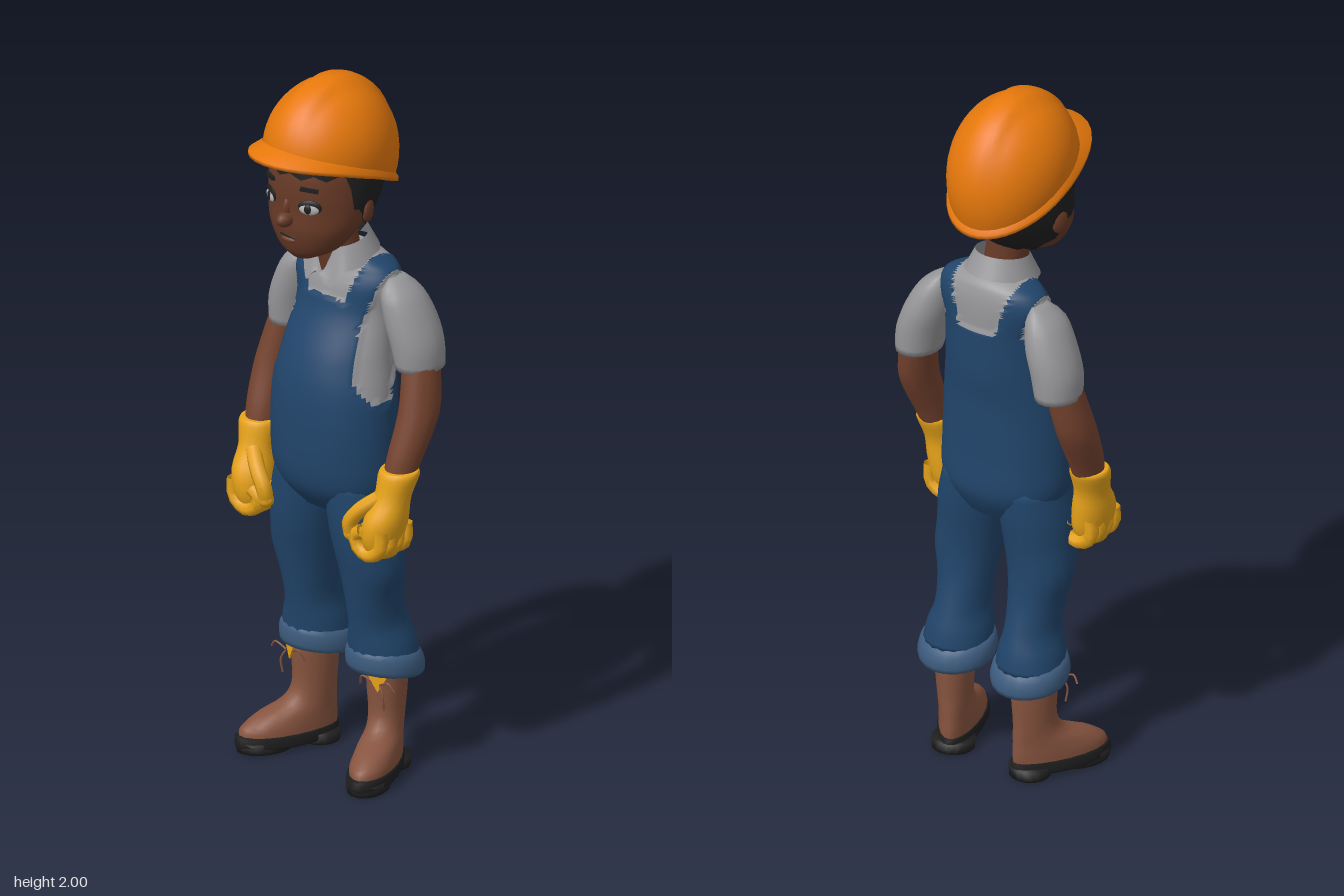
import * as THREE from 'three';

const mat = (name, color, side = THREE.FrontSide) => {
  const m = new THREE.MeshStandardMaterial({ color, side });
  m.name = name;
  return m;
};

// Closed-around surface: fn(angle, v) gives a point; v rises from 0 to 1.
function surf(nu, nv, fn, caps = true) {
  const pos = [], idx = [];
  for (let j = 0; j <= nv; j++)
    for (let i = 0; i < nu; i++) pos.push(...fn((i / nu) * Math.PI * 2, j / nv));
  for (let j = 0; j < nv; j++)
    for (let i = 0; i < nu; i++) {
      const k = (i + 1) % nu, a = j * nu + i, b = j * nu + k, c = b + nu, d = a + nu;
      idx.push(a, d, b, b, d, c);
    }
  if (caps) for (const j of [0, nv]) {
    const c = pos.length / 3, mid = [0, 0, 0];
    for (let i = 0; i < nu; i++) for (let n = 0; n < 3; n++) mid[n] += pos[(j * nu + i) * 3 + n] / nu;
    pos.push(...mid);
    for (let i = 0; i < nu; i++) {
      const a = j * nu + i, b = j * nu + ((i + 1) % nu);
      idx.push(c, j ? b : a, j ? a : b);
    }
  }
  const g = new THREE.BufferGeometry();
  g.setAttribute('position', new THREE.Float32BufferAttribute(pos, 3));
  g.setIndex(idx);
  g.computeVertexNormals();
  return g;
}

// Smooth interpolation of a list of rings.
function ringAt(rings, v) {
  const n = rings.length - 1, f = Math.min(v * n, n - 1e-6), i = Math.floor(f), t = f - i;
  const at = k => rings[Math.max(0, Math.min(n, k))];
  return rings[0].map((_, q) => {
    const a = at(i - 1)[q], b = at(i)[q], c = at(i + 1)[q], d = at(i + 2)[q];
    return 0.5 * (2 * b + (c - a) * t + (2 * a - 5 * b + 4 * c - d) * t * t + (3 * b - a - 3 * c + d) * t ** 3);
  });
}

// Loft through rings [x, y, z, radiusX, radiusZ, rise towards front], bottom to top.
function loft(rings, nu = 18, sub = 3, adjust = p => p) {
  const full = rings.map(r => [...r, 0].slice(0, 6));
  return surf(nu, (rings.length - 1) * sub, (a, v) => {
    const [x, y, z, rx, rz, k] = ringAt(full, v), s = Math.sin(a);
    return adjust([x + rx * Math.cos(a), y + k * rz * s, z + rz * s], a);
  });
}

const ball = (x, y, z, sx, sy, sz, yaw = 0) =>
  new THREE.SphereGeometry(1, 14, 10).scale(sx, sy, sz).rotateY(yaw).translate(x, y, z);

const tube = (pts, r, n = 10) => new THREE.TubeGeometry(
  new THREE.CatmullRomCurve3(pts.map(p => new THREE.Vector3(...p))), n, r, 7);

function mirrored(geo) {
  const g = geo.clone().applyMatrix4(new THREE.Matrix4().makeScale(-1, 1, 1));
  const ix = g.index.array;
  for (let i = 0; i < ix.length; i += 3) [ix[i], ix[i + 1]] = [ix[i + 1], ix[i]];
  return g;
}

export function createModel() {
  const orange = mat('helmet orange', 0xea7a0c, THREE.DoubleSide);
  const face = mat('face skin', 0x683a27);
  const skin = mat('arm skin', 0x75432f);
  const leather = mat('boot leather', 0x87543f);
  const denim = mat('denim', 0x21456b);
  const cuffBlue = mat('cuff denim', 0x3d5c7f);
  const grey = mat('shirt grey', 0x97979a, THREE.DoubleSide);
  const yellow = mat('glove yellow', 0xeaa51a, THREE.DoubleSide);
  const black = mat('black', 0x201f20, THREE.DoubleSide);
  const white = mat('eye white', 0xb5b2b0);

  const root = new THREE.Group();
  root.name = 'worker';
  const add = (name, geo, m) => {
    const mesh = new THREE.Mesh(geo, m);
    mesh.name = name;
    root.add(mesh);
    return mesh;
  };
  const both = (name, geo, m) => {
    add(name + 'Left', geo, m);
    add(name + 'Right', mirrored(geo), m);
  };

  // Torso: bib, back panel and straps in denim over the shirt
  const isDenim = ([x, y, z]) => {
    const ax = Math.abs(x), front = z > -0.06;
    if (y < 1.08) return true;
    if (y > 1.3 && Math.abs(ax - 0.097 - (y - 1.36) * 0.28) < 0.032) return true;
    const w = y > 1.2 ? 0.11 + (1.36 - y) * 0.125 : 0.13 + 0.07 * ((1.2 - y) / 0.12) ** 2;
    return y < (front ? 1.375 - ax * ax * 2 : 1.34) && ax < w + (front ? 0 : 0.025);
  };
  const torso = loft([
    [0, 0.765, -0.045, 0.13, 0.085], [0, 0.84, -0.036, 0.18, 0.13], [0, 0.95, -0.027, 0.187, 0.137],
    [0, 1.1, -0.028, 0.18, 0.135], [0, 1.21, -0.046, 0.163, 0.127], [0, 1.33, -0.075, 0.152, 0.1],
    [0, 1.41, -0.085, 0.168, 0.09], [0, 1.455, -0.09, 0.15, 0.078], [0, 1.48, -0.085, 0.11, 0.07],
    [0, 1.5, -0.07, 0.06, 0.055]], 72, 10,
  (p, a) => isDenim(p) ? [p[0] + 0.006 * Math.cos(a), p[1], p[2] + 0.006 * Math.sin(a)] : p);
  const tp = torso.attributes.position, parts = [[], []], ti = torso.index.array;
  for (let i = 0; i < ti.length; i += 3) {
    const t = [ti[i], ti[i + 1], ti[i + 2]];
    const c = ['getX', 'getY', 'getZ'].map(f => t.reduce((s, k) => s + tp[f](k) / 3, 0));
    parts[isDenim(c) ? 0 : 1].push(...t);
  }
  torso.setIndex([...parts[0], ...parts[1]]);
  torso.addGroup(0, parts[0].length, 0);
  torso.addGroup(parts[0].length, parts[1].length, 1);
  add('torso', torso, [denim, grey]);

  // Open collar with a notch and two points at the front
  add('collar', surf(40, 4, (a, v) => {
    const d = Math.abs(a - Math.PI / 2), s = Math.sin(a);
    const notch = Math.max(0, 1 - d / 0.5), point = Math.max(0, 1 - Math.abs(d - 0.42) / 0.36);
    const low = 1.475 - 0.02 * s - 0.05 * point, high = 1.535 - 0.015 * s - 0.085 * notch;
    const r = 1 - 0.28 * v;
    return [0.1 * r * Math.cos(a), low + (high - low) * v, -0.055 + 0.105 * r * s];
  }, false), grey);

  // Sleeves, arms and gloves
  both('sleeve', loft([[0.23, 1.195, -0.115, 0.06, 0.075], [0.222, 1.26, -0.112, 0.066, 0.08],
    [0.2, 1.33, -0.108, 0.064, 0.08], [0.176, 1.4, -0.1, 0.048, 0.066], [0.155, 1.44, -0.1, 0.016, 0.03]]), grey);
  both('arm', loft([[0.248, 0.88, 0, 0.038, 0.042], [0.255, 0.96, -0.025, 0.046, 0.052],
    [0.26, 1.04, -0.06, 0.05, 0.06], [0.257, 1.11, -0.085, 0.05, 0.063], [0.235, 1.24, -0.112, 0.046, 0.056]]), skin);
  both('glove', loft([[0.232, 0.695, 0.035, 0.036, 0.045], [0.232, 0.74, 0.034, 0.05, 0.065],
    [0.24, 0.8, 0.03, 0.054, 0.068], [0.247, 0.86, 0.012, 0.048, 0.052], [0.253, 0.92, -0.005, 0.056, 0.056],
    [0.253, 0.935, -0.008, 0.05, 0.05]]), yellow);
  for (let i = 0; i < 4; i++) {
    const z = -0.018 + i * 0.033;
    both('finger' + (i + 1), tube([[0.265, 0.78, z], [0.263, 0.725, z], [0.225, 0.7, z], [0.185, 0.715, z],
      [0.178, 0.75, z], [0.2, 0.765, z]], 0.02), yellow);
  }
  both('thumb', tube([[0.23, 0.86, 0.045], [0.185, 0.82, 0.075], [0.157, 0.78, 0.082], [0.155, 0.745, 0.075]], 0.022), yellow);
  both('thumbTip', ball(0.155, 0.745, 0.075, 0.022, 0.022, 0.022), yellow);

  // Trouser legs and rolled cuffs
  both('trouserLeg', loft([[0.12, 0.33, -0.09, 0.095, 0.098], [0.118, 0.38, -0.084, 0.088, 0.096],
    [0.115, 0.44, -0.072, 0.071, 0.09], [0.116, 0.52, -0.055, 0.077, 0.086], [0.12, 0.6, -0.043, 0.092, 0.09],
    [0.11, 0.68, -0.036, 0.096, 0.1], [0.1, 0.77, -0.036, 0.098, 0.11], [0.09, 0.86, -0.036, 0.085, 0.115]]), denim);
  both('trouserCuff', loft([[0.12, 0.29, -0.095, 0.08, 0.088, 0.15], [0.12, 0.285, -0.095, 0.103, 0.104, 0.15],
    [0.12, 0.315, -0.094, 0.107, 0.108, 0.15], [0.12, 0.345, -0.09, 0.098, 0.1, 0.15],
    [0.12, 0.355, -0.09, 0.08, 0.085, 0.15]], 20, 2), cuffBlue);

  // Boots, turned out
  const foot = g => g.rotateY(0.4).translate(0.132, 0, -0.09);
  const taper = p => [p[0] * (0.88 + Math.max(-0.1, Math.min(0.18, p[2])) * 0.95), p[1], p[2]];
  both('boot', foot(loft([[0, 0.04, 0.078, 0.06, 0.143], [0, 0.065, 0.073, 0.06, 0.14], [0, 0.095, 0.05, 0.057, 0.115],
    [0, 0.125, 0.015, 0.053, 0.079], [0, 0.17, 0, 0.055, 0.063], [0, 0.25, -0.002, 0.062, 0.066],
    [0, 0.33, 0, 0.064, 0.066]], 20, 3, taper)), leather);
  both('sole', foot(loft([[0, 0.012, 0.08, 0.062, 0.145], [0, 0.02, 0.08, 0.066, 0.152], [0, 0.043, 0.08, 0.065, 0.15],
    [0, 0.047, 0.08, 0.06, 0.143]], 20, 1, taper)), black);
  both('heel', foot(loft([[0, 0, -0.015, 0.058, 0.055], [0, 0.03, -0.015, 0.06, 0.057]], 16, 1)), black);
  both('forefootSole', foot(loft([[0, 0, 0.145, 0.056, 0.08], [0, 0.03, 0.145, 0.058, 0.083]], 16, 1)), black);

  // Boot tongues and loose laces
  const tongue = new THREE.Shape([[-0.035, 0.03], [0, -0.03], [0.035, 0.03]].map(p => new THREE.Vector2(...p)));
  both('bootTongue', new THREE.ExtrudeGeometry(tongue, { depth: 0.006, bevelEnabled: false })
    .toNonIndexed !== undefined ? indexed(new THREE.ExtrudeGeometry(tongue, { depth: 0.006, bevelEnabled: false }))
      .rotateY(0.4).translate(0.158, 0.275, -0.026) : null, yellow);
  both('laceOuter', tube([[0.17, 0.27, -0.02], [0.205, 0.285, -0.015], [0.222, 0.265, -0.02]], 0.003), leather);
  both('laceInner', tube([[0.15, 0.27, -0.02], [0.115, 0.285, -0.01], [0.1, 0.255, -0.02]], 0.003), leather);
  both('laceEnd', tube([[0.17, 0.27, -0.02], [0.185, 0.24, -0.015], [0.183, 0.2, -0.02]], 0.003), leather);

  // Neck and head
  const X = -0.012;
  add('neck', loft([[0, 1.42, -0.06, 0.062, 0.06], [0, 1.5, -0.04, 0.06, 0.06], [X, 1.6, -0.03, 0.062, 0.062]]), face);
  const headRings = [[X, 1.512, 0.082, 0.035, 0.03], [X, 1.54, 0.055, 0.088, 0.078], [X, 1.6, 0.035, 0.129, 0.114],
    [X, 1.66, 0.015, 0.143, 0.134], [X, 1.72, 0.005, 0.146, 0.147], [X, 1.79, -0.008, 0.142, 0.15],
    [X, 1.88, -0.02, 0.1, 0.12]];
  add('head', loft(headRings, 28, 4), face);
  add('nose', ball(X, 1.637, 0.152, 0.022, 0.022, 0.032), face);
  add('noseBridge', ball(X, 1.665, 0.143, 0.012, 0.035, 0.018), face);
  add('mouth', ball(X, 1.586, 0.143, 0.03, 0.005, 0.006), black);
  add('lowerLip', ball(X, 1.575, 0.142, 0.024, 0.008, 0.008), skin);
  for (const s of [-1, 1]) {
    const side = s > 0 ? 'Left' : 'Right', x = X + s * 0.07, yaw = s * 0.5;
    add('ear' + side, ball(X + s * 0.145, 1.655, -0.012, 0.014, 0.036, 0.026, s * 0.3), face);
    add('eyeLash' + side, ball(x, 1.685, 0.133, 0.033, 0.021, 0.007, yaw), black);
    add('eye' + side, ball(x, 1.68, 0.136, 0.028, 0.016, 0.007, yaw), white);
    add('iris' + side, ball(x - s * 0.002, 1.681, 0.138, 0.014, 0.015, 0.008, yaw), black);
    add('eyebrow' + side, new THREE.BoxGeometry(0.05, 0.01, 0.009).rotateZ(-s * 0.08)
      .rotateY(yaw).translate(x, 1.736, 0.136), black);
  }

  // Hair: low at the nape, cut around the ears, ragged fringe
  add('hair', surf(56, 8, (a, v) => {
    const s = Math.sin(a), back = Math.max(0, -s);
    const t = THREE.MathUtils.smoothstep(s, -0.75, 0.25), f = THREE.MathUtils.smoothstep(s, 0.2, 0.4);
    const low = 1.56 + 0.11 * t + 0.1 * f + 0.007 * Math.sin(a * 14);
    const y = low + (1.85 - low) * v;
    const k = headRings.findIndex((r, i) => i && y <= headRings[i][1]);
    const p = headRings[k - 1], q = headRings[k], w = (y - p[1]) / (q[1] - p[1]);
    const mix = n => p[n] + (q[n] - p[n]) * w;
    return [X + (mix(3) + 0.011) * Math.cos(a), y, mix(2) + (mix(4) + 0.012 + 0.028 * back) * s];
  }, false), black);

  // Helmet: domed shell with a centre ridge, tilted rim and front peak
  const rimY = s => 1.758 + (s > 0 ? 0.065 : 0.095) * s;
  add('helmetShell', surf(40, 14, (a, v) => {
    const s = Math.sin(a), t0 = -0.2 + 0.25 * s, th = t0 + v * (Math.PI / 2 - t0);
    const h = (Math.sin(th) - Math.sin(t0)) / (1 - Math.sin(t0)), r = Math.cos(th);
    const x = 0.163 * r * Math.cos(a);
    const ridge = 1 - THREE.MathUtils.smoothstep(Math.abs(x), 0.035, 0.06);
    return [X + x, rimY(s) + (1.99 - rimY(s)) * h + 0.01 * ridge * h, -0.025 + (0.203 + 0.008 * ridge * v) * r * s];
  }, false), orange);
  const brim = [[-0.012, 0.012], [0, -0.006], [1, -0.012], [1, -0.001], [0, 0.016]];
  add('helmetBrim', surf(40, 4, (a, v) => {
    const s = Math.sin(a), [o, dy] = brim[Math.round(v * 4)];
    const r = Math.cos(-0.2 + 0.25 * s), e = o * (0.01 + 0.05 * Math.max(0, s) ** 3);
    return [X + (0.163 * r + e) * Math.cos(a), rimY(s) + dy + Math.max(0, s) * 0.01, -0.025 + (0.205 * r + e) * s];
  }, false), orange);

  return root;
}

// Gives a geometry a plain running index.
function indexed(g) {
  if (!g.index) g.setIndex([...Array(g.attributes.position.count).keys()]);
  return g;
}
